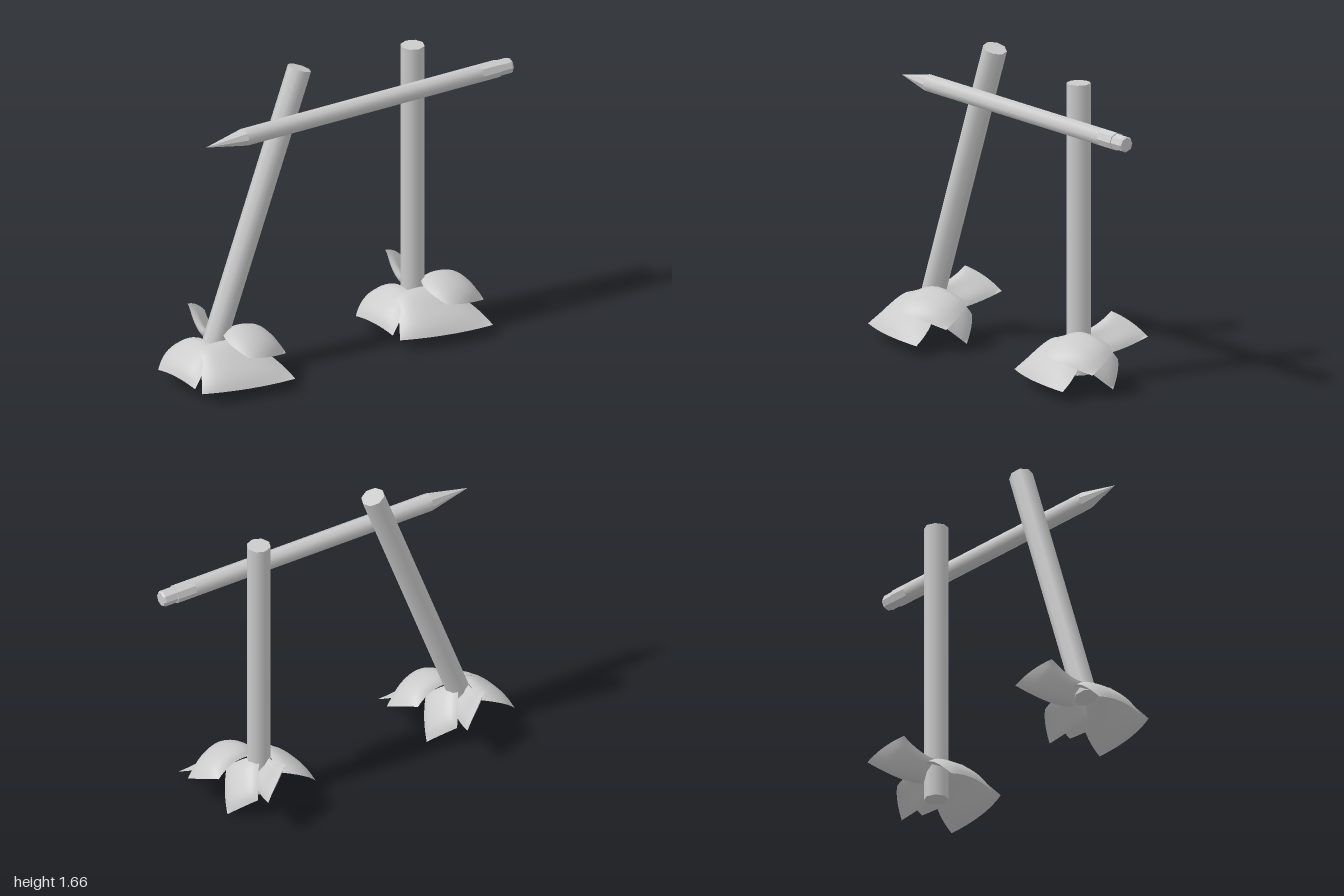
import * as THREE from 'three';
import { mergeGeometries } from 'three/addons/utils/BufferGeometryUtils.js';

const material = new THREE.MeshStandardMaterial({ color: 0xcccccc, side: THREE.DoubleSide });

function addMesh(parent, name, geometry) {
  const mesh = new THREE.Mesh(geometry, material);
  mesh.name = name;
  parent.add(mesh);
  return mesh;
}

// Smooth point on a leaf: three rows (stem to tip) of three points across
function leafPoint(rows, u, v) {
  const weights = t => [(1 - t) * (1 - 2 * t), 4 * t * (1 - t), t * (2 * t - 1)];
  const wu = weights(u), wv = weights(v);
  const p = new THREE.Vector3();
  rows.forEach((row, j) => row.forEach((c, i) =>
    p.addScaledVector(new THREE.Vector3(...c), wu[i] * wv[j])));
  return p;
}

// Thin pillow: the leaf surface swollen to both sides, closing at its rim
function leafGeometry(rows, thickness = 0.02, n = 12) {
  const sheet = side => {
    const geo = new THREE.PlaneGeometry(1, 1, n, n);
    const pos = geo.attributes.position;
    for (let k = 0; k < pos.count; k++) {
      const u = pos.getX(k) + 0.5, v = 0.5 - pos.getY(k);
      const du = leafPoint(rows, u + 0.01, v).sub(leafPoint(rows, u - 0.01, v));
      const dv = leafPoint(rows, u, v + 0.01).sub(leafPoint(rows, u, v - 0.01));
      const normal = dv.cross(du).normalize();
      const swell = (1 - (2 * u - 1) ** 4) * (1 - (2 * v - 1) ** 4);
      const p = leafPoint(rows, u, v).addScaledVector(normal, side * thickness * swell);
      pos.setXYZ(k, p.x, p.y, p.z);
    }
    if (side < 0) {
      const idx = geo.index;
      for (let k = 0; k < idx.count; k += 3) {
        const a = idx.getX(k);
        idx.setX(k, idx.getX(k + 1));
        idx.setX(k + 1, a);
      }
    }
    geo.computeVertexNormals();
    return geo;
  };
  return mergeGeometries([sheet(1), sheet(-1)]);
}

// Leaf control points relative to the post axis
const leaves = {
  outerLeaf: [
    [[-0.05, 0.21, -0.11], [-0.06, 0.24, -0.03], [-0.06, 0.24, 0.08]],
    [[-0.17, 0.17, -0.155], [-0.16, 0.19, 0], [-0.15, 0.18, 0.15]],
    [[-0.27, 0.08, -0.12], [-0.26, 0.1, 0.03], [-0.235, 0.08, 0.18]],
  ],
  frontLeaf: [
    [[-0.14, 0.23, 0.06], [-0.04, 0.25, 0.06], [0.1, 0.24, 0.07]],
    [[-0.18, 0.16, 0.15], [0, 0.185, 0.18], [0.22, 0.16, 0.18]],
    [[-0.23, 0.075, 0.24], [0.02, 0.075, 0.315], [0.28, 0.07, 0.33]],
  ],
  innerLeaf: [
    [[0.06, 0.28, 0.01], [0.0, 0.27, 0.11], [0.04, 0.22, 0.26]],
    [[0.16, 0.275, 0.0], [0.16, 0.27, 0.12], [0.16, 0.195, 0.26]],
    [[0.26, 0.235, -0.03], [0.31, 0.195, 0.07], [0.325, 0.14, 0.17]],
  ],
  lowLeaf: [
    [[0.01, 0.28, -0.02], [0.06, 0.24, 0.05], [0.12, 0.17, 0.12]],
    [[0.07, 0.21, -0.11], [0.12, 0.17, -0.03], [0.18, 0.09, 0.04]],
    [[0.11, 0.13, -0.17], [0.17, 0.08, -0.12], [0.22, 0.01, -0.05]],
  ],
  backLeaf: [
    [[-0.04, 0.27, -0.02], [0.0, 0.23, -0.03], [0.05, 0.17, -0.02]],
    [[-0.03, 0.285, -0.12], [0.02, 0.23, -0.14], [0.09, 0.165, -0.14]],
    [[-0.02, 0.35, -0.23], [0.07, 0.3, -0.29], [0.15, 0.23, -0.335]],
  ],
};

function addLeafCluster(parent, name, x) {
  const cluster = new THREE.Group();
  cluster.name = name;
  cluster.position.x = x;
  for (const [leafName, rows] of Object.entries(leaves)) {
    addMesh(cluster, leafName, leafGeometry(rows));
  }
  parent.add(cluster);
}

function addPost(parent, name, x, y, tilt) {
  const post = addMesh(parent, name, new THREE.CylinderGeometry(0.063, 0.063, 1.54, 8));
  post.position.set(x, y, 0);
  post.rotation.z = tilt;
}

// Eight-sided section of the crossbar, running from x0 to x1
function addBarSection(parent, name, x0, x1, r0, r1, flat = false) {
  let geo = new THREE.CylinderGeometry(r1, r0, x1 - x0, 8);
  if (flat) {
    geo = geo.toNonIndexed();
    geo.computeVertexNormals();
  }
  geo.rotateZ(-Math.PI / 2);
  addMesh(parent, name, geo).position.x = (x0 + x1) / 2;
}

export function createModel() {
  const model = new THREE.Group();
  model.name = 'postsWithCrossbar';

  // Upright post and leaning post
  addPost(model, 'uprightPost', 0.473, 0.833, 0);
  addPost(model, 'leaningPost', -0.48, 0.924, -THREE.MathUtils.degToRad(20));

  // Leaves gathered around the feet
  addLeafCluster(model, 'uprightPostLeaves', 0.473);
  addLeafCluster(model, 'leaningPostLeaves', -0.732);

  // Pointed crossbar resting against the front of the posts
  const bar = new THREE.Group();
  bar.name = 'crossbar';
  bar.position.set(0, 1.397, 0.105);
  addBarSection(bar, 'point', -0.85, -0.62, 0.001, 0.048, true);
  addBarSection(bar, 'shaft', -0.62, 0.81, 0.048, 0.048);
  addBarSection(bar, 'collar', 0.81, 0.92, 0.048, 0.048, true);
  addBarSection(bar, 'endPiece', 0.92, 0.99, 0.043, 0.043, true);
  addBarSection(bar, 'endBevel', 0.99, 1.0, 0.043, 0.037, true);
  model.add(bar);

  return model;
}
